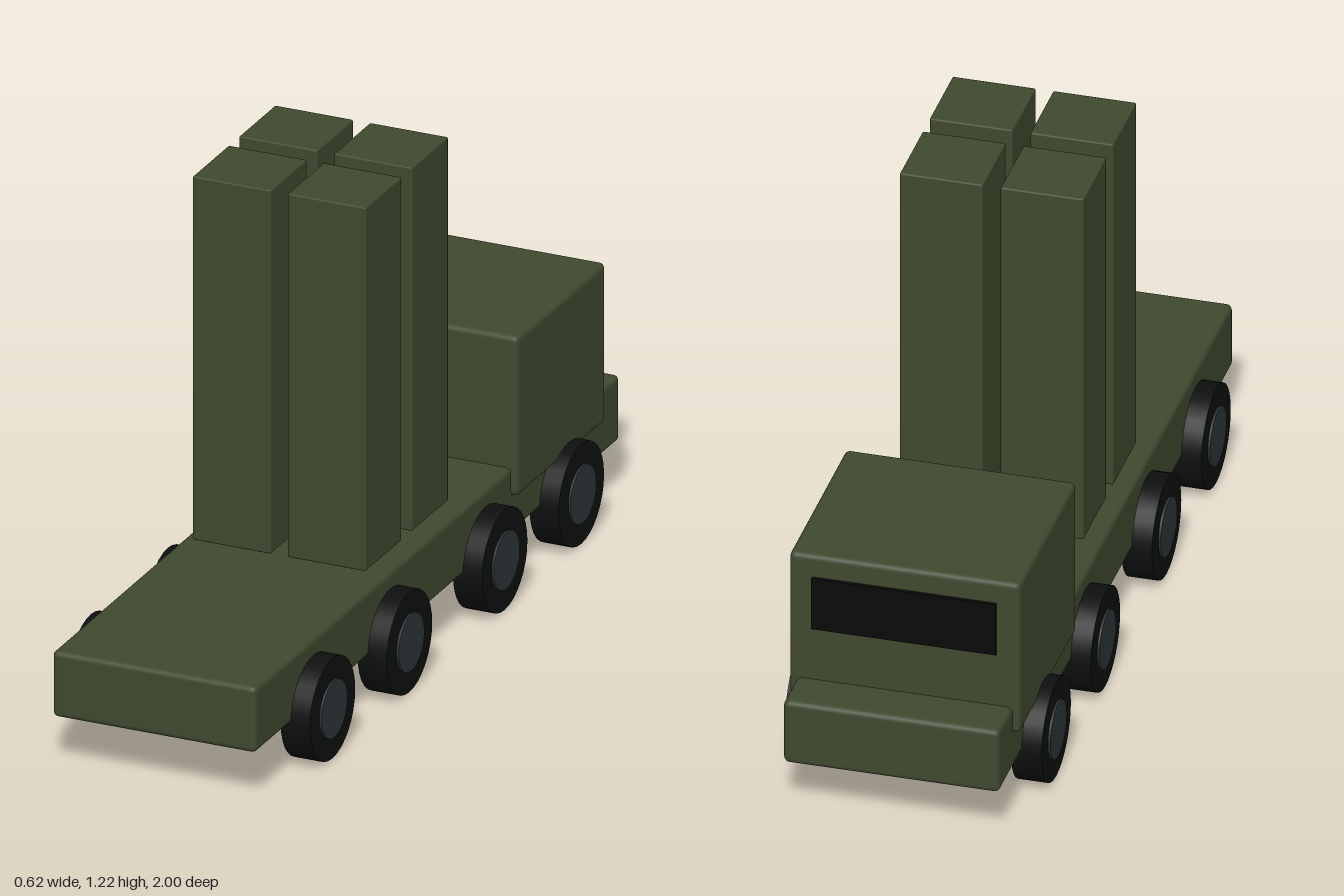
import * as THREE from 'three';
import { RoundedBoxGeometry } from 'three/addons/geometries/RoundedBoxGeometry.js';

export function createModel() {
  const model = new THREE.Group();
  model.name = 'launcherTruck';

  const material = (name, color) => {
    const m = new THREE.MeshStandardMaterial({ color });
    m.name = name;
    return m;
  };
  const olive = material('olive paint', 0x3f492f);
  const rubber = material('black rubber', 0x0e0f10);
  const steel = material('dark steel', 0x2d3637);
  const glass = material('dark glass', 0x0a0a0b);

  const add = (parent, name, geometry, mat, x, y, z) => {
    const mesh = new THREE.Mesh(geometry, mat);
    mesh.name = name;
    mesh.position.set(x, y, z);
    parent.add(mesh);
    return mesh;
  };

  // Long flat chassis and the cab at its -z end
  add(model, 'chassis', new RoundedBoxGeometry(0.515, 0.165, 2, 3, 0.014), olive, 0, 0.209, 0);
  add(model, 'cab', new RoundedBoxGeometry(0.55, 0.4, 0.485, 3, 0.014), olive, 0, 0.421, -0.642);
  add(model, 'windshield', new THREE.BoxGeometry(0.44, 0.135, 0.009), glass, 0, 0.497, -0.8885);

  // Four upright launch canisters, just clear of the deck
  const canister = new RoundedBoxGeometry(0.198, 0.91, 0.198, 2, 0.004);
  for (const x of [-0.12, 0.12]) {
    for (const z of [-0.042, 0.213]) add(model, 'canister', canister, olive, x, 0.761, z);
  }

  // Four axles: tyre with a slightly proud hub disc on each side
  const tyre = new THREE.CylinderGeometry(0.125, 0.125, 0.073, 32).rotateZ(Math.PI / 2);
  const hub = new THREE.CylinderGeometry(0.071, 0.071, 0.078, 24).rotateZ(Math.PI / 2);
  for (const z of [-0.682, -0.262, 0.26, 0.682]) {
    for (const side of [-1, 1]) {
      const wheel = new THREE.Group();
      wheel.name = 'wheel';
      wheel.position.set(side * 0.269, 0.125, z);
      add(wheel, 'tyre', tyre, rubber, 0, 0, 0);
      add(wheel, 'hub', hub, steel, side * 0.003, 0, 0);
      model.add(wheel);
    }
  }
  return model;
}
